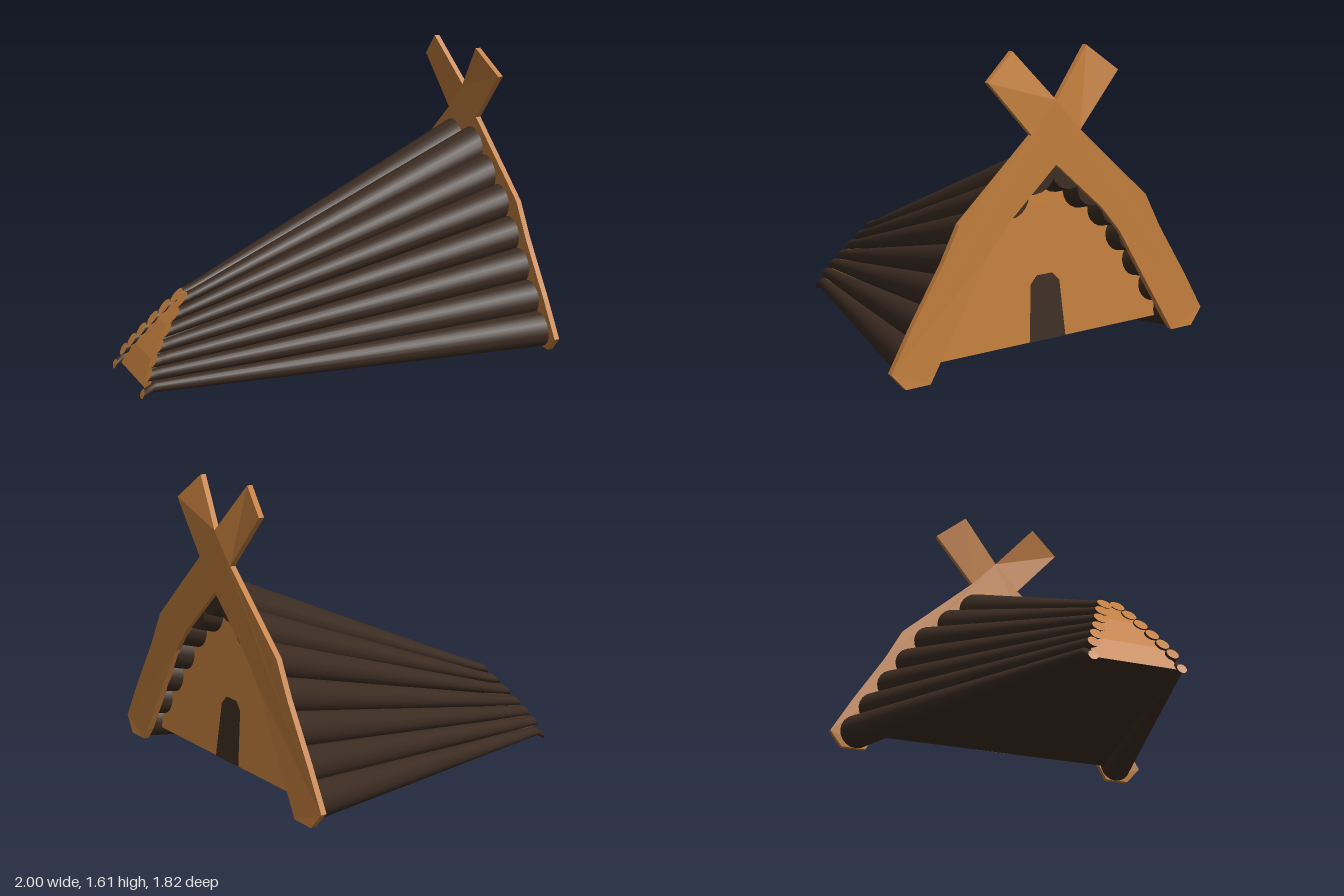
import * as THREE from 'three';

const wood = new THREE.MeshStandardMaterial({ color: 0xc07c3c, side: THREE.DoubleSide, flatShading: true });
const bark = new THREE.MeshStandardMaterial({ color: 0x3c2c22 });
const darkFlat = new THREE.MeshStandardMaterial({ color: 0x3c2c22, side: THREE.DoubleSide, flatShading: true });

const lerp = THREE.MathUtils.lerp;

// x of the slanted cut at the small end, of the gable's back face and of the front wall
const smallEndX = (y) => -1 + 0.32 * Math.pow(Math.max(y, 0) / 0.45, 1.3);
const gableX = (y) => 0.958 - 0.028 * (Math.min(y, 1.22) - 0.23)
  + 0.1 * Math.max(0, 0.23 - y)
  - 0.057 * Math.pow(Math.max(0, y - 1.22) / 0.38, 3);
const wallX = (y) => 0.915 - 0.11 * (y - 0.21);

// closed outline from one half, mirrored about z = 0
function mirroredShape(half) {
  const other = half.filter(([z]) => z !== 0).map(([z, y]) => [-z, y]).reverse();
  return new THREE.Shape([...half, ...other].map(([z, y]) => new THREE.Vector2(z, y)));
}

// turn a geometry drawn in (z, y) to face +x, leaning by a rule
function leanToX(geometry, rule) {
  const p = geometry.attributes.position;
  for (let i = 0; i < p.count; i++) {
    const u = p.getX(i), y = p.getY(i), w = p.getZ(i);
    p.setXYZ(i, rule(y) + w, y, -u);
  }
  geometry.computeVertexNormals();
  return geometry;
}

// tapered log between a slanted small end and a big end; the tip may droop
function logGeometry(small, big, rSmall, rBig, droop) {
  const g = new THREE.CylinderGeometry(1, 1, 1, 20, 2);
  const p = g.attributes.position;
  for (let i = 0; i < p.count; i++) {
    const t = [0, 0.02, 1][Math.round(p.getY(i) * 2) + 1];
    const r = lerp(rSmall, rBig, t);
    const y = lerp(small[1], big[1], t) + r * p.getZ(i) - (t === 0 ? droop : 0);
    const z = lerp(small[0], big[0], t) + r * p.getX(i);
    p.setXYZ(i, lerp(smallEndX(y), gableX(y) + 0.005, t), y, z);
  }
  // the middle ring lies on the slant too, and the big end lies on the gable
  g.computeVertexNormals();
  return g;
}

// strip of quads between matching rows of points
function stripGeometry(rows) {
  const pos = [], index = [];
  rows.forEach(([x, y, z], i) => {
    pos.push(x, y, z, x, y, -z);
    if (i > 0) {
      const a = 2 * i - 2;
      index.push(a, a + 1, a + 2, a + 1, a + 3, a + 2);
    }
  });
  const g = new THREE.BufferGeometry();
  g.setAttribute('position', new THREE.Float32BufferAttribute(pos, 3));
  g.setIndex(index);
  g.computeVertexNormals();
  return g;
}

export function createModel() {
  const model = new THREE.Group();
  const add = (name, geometry, material) => {
    const mesh = new THREE.Mesh(geometry, material);
    mesh.name = name;
    model.add(mesh);
  };

  // roof logs as [z, y, radius] at each end, from the ridge down to the eaves
  const bigEnds = [[0.1, 1.05, 0.112], [0.24, 0.94, 0.1], [0.38, 0.82, 0.092], [0.483, 0.675, 0.09],
    [0.58, 0.53, 0.09], [0.675, 0.385, 0.09], [0.765, 0.242, 0.092]];
  const smallEnds = [[0.033, 0.418, 0.034], [0.068, 0.355, 0.034], [0.1, 0.29, 0.033], [0.132, 0.225, 0.032],
    [0.163, 0.165, 0.031], [0.193, 0.108, 0.029], [0.215, 0.052, 0.024]];
  for (const side of [1, -1]) {
    bigEnds.forEach(([bz, by, br], i) => {
      const [sz, sy, sr] = smallEnds[i];
      const droop = i === 6 ? 0.028 : 0;
      add('roofLog', logGeometry([sz * side, sy], [bz * side, by], sr, br, droop), [bark, bark, wood]);
    });
  }

  // crossed gable boards with horns, open underneath
  const gable = mirroredShape([
    [0, 1.37], [0.21, 1.605], [0.37, 1.48], [0.14, 1.22], [0.54, 0.86], [0.63, 0.69],
    [0.80, 0.42], [0.91, 0.23], [0.84, 0.15], [0.71, 0.15], [0.67, 0.21],
    [0.38, 0.70], [0.27, 0.83], [0, 1.07],
  ]);
  add('gableBoards', leanToX(new THREE.ExtrudeGeometry(gable,
    { depth: 0.028, bevelEnabled: false }), gableX), wood);

  // recessed front wall and its doorway
  const wall = mirroredShape([[0, 1.05], [0.3, 0.86], [0.44, 0.68], [0.7, 0.21]]);
  add('gableWall', leanToX(new THREE.ShapeGeometry(wall), wallX), wood);
  const door = mirroredShape([[0.045, 0.525], [0.085, 0.485], [0.105, 0.21]]);
  add('doorway', leanToX(new THREE.ShapeGeometry(door), (y) => wallX(y) + 0.004), darkFlat);

  // small end wall
  add('rearWall', stripGeometry([[-0.96, 0.03, 0.22], [-0.9, 0.15, 0.17],
    [-0.8, 0.3, 0.1], [-0.7, 0.42, 0.02]]), wood);

  // sloping floor
  add('floor', stripGeometry([[0.915, 0.21, 0.69], [-0.96, 0.03, 0.22]]), darkFlat);

  return model;
}
